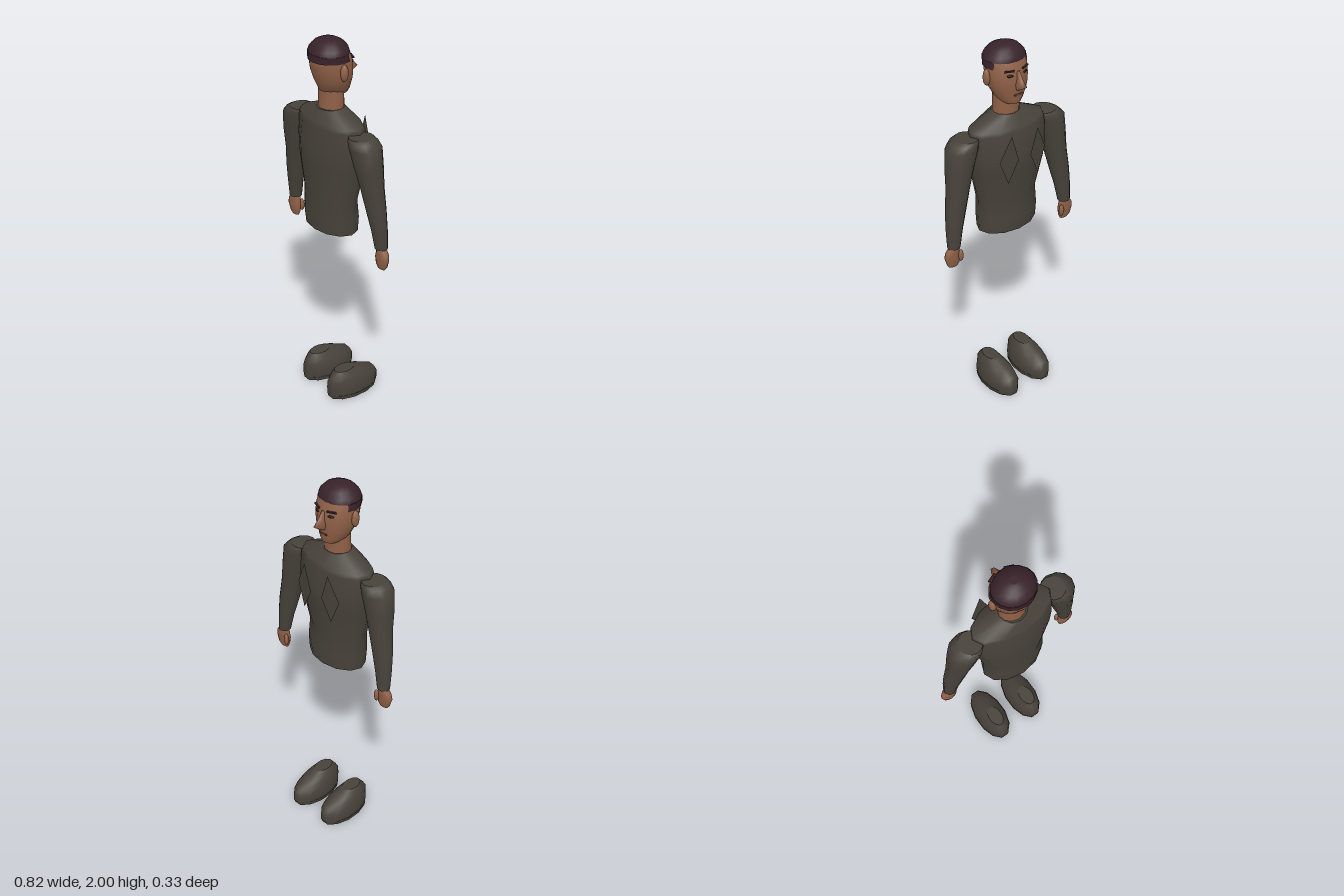
import * as THREE from 'three';

const material = (name, color) => {
  const m = new THREE.MeshStandardMaterial({ color, side: THREE.DoubleSide });
  m.name = name;
  return m;
};

// Smooth oval loft through rings [y, xMin, xMax, zMin, zMax], lowest first, closed with flat caps.
function loft(rings, n = 12, phase = 0) {
  const pos = [], index = [];
  const addRing = ([y, x0, x1, z0, z1]) => {
    for (let j = 0; j < n; j++) {
      const a = ((j + phase) / n) * Math.PI * 2;
      pos.push((x0 + x1) / 2 + Math.cos(a) * (x1 - x0) / 2, y, (z0 + z1) / 2 + Math.sin(a) * (z1 - z0) / 2);
    }
  };
  rings.forEach(addRing);
  for (let i = 0; i < rings.length - 1; i++) {
    for (let j = 0; j < n; j++) {
      const a = i * n + j, b = i * n + (j + 1) % n;
      index.push(a, a + n, b, b, a + n, b + n);
    }
  }
  [rings[0], rings[rings.length - 1]].forEach((ring, k) => {
    const s = pos.length / 3;
    addRing(ring);
    for (let j = 1; j < n - 1; j++) index.push(s, s + j + (k ? 1 : 0), s + j + (k ? 0 : 1));
  });
  const g = new THREE.BufferGeometry();
  g.setAttribute('position', new THREE.Float32BufferAttribute(pos, 3));
  g.setIndex(index);
  g.computeVertexNormals();
  return g;
}

const mirrorRings = (rings, s) => rings.map(([y, a, b, z0, z1]) => (s > 0 ? [y, a, b, z0, z1] : [y, -b, -a, z0, z1]));

export function createModel() {
  const root = new THREE.Group();
  root.name = 'figure';
  const suit = material('darkSuit', 0x47423a);
  const skin = material('skin', 0x8f6047);
  const hair = material('hair', 0x38222a);
  const dark = material('eyeDark', 0x1c1412);
  const lip = material('lips', 0x6e4334);

  const add = (name, geometry, mat, x = 0, y = 0, z = 0, parent = root) => {
    const mesh = new THREE.Mesh(geometry, mat);
    mesh.name = name;
    mesh.position.set(x, y, z);
    parent.add(mesh);
    return mesh;
  };

  // Torso and neck
  add('torso', loft([
    [1.0, -0.17, 0.17, -0.063, 0.155],
    [1.08, -0.173, 0.173, -0.072, 0.165],
    [1.18, -0.172, 0.172, -0.055, 0.155],
    [1.36, -0.212, 0.212, -0.086, 0.169],
    [1.46, -0.222, 0.222, -0.09, 0.168],
    [1.57, -0.222, 0.222, -0.07, 0.152],
    [1.59, -0.215, 0.215, -0.062, 0.147],
    [1.65, -0.075, 0.075, -0.02, 0.118],
  ]), suit);
  add('neck', loft([[1.63, -0.07, 0.07, -0.018, 0.108], [1.75, -0.068, 0.068, -0.015, 0.105]]), skin);

  // Head
  add('head', loft([
    [1.715, -0.045, 0.045, -0.045, 0.05],
    [1.74, -0.07, 0.07, -0.053, 0.105],
    [1.8, -0.1, 0.1, -0.058, 0.13],
    [1.85, -0.107, 0.107, -0.06, 0.147],
    [1.9, -0.108, 0.108, -0.053, 0.152],
    [1.94, -0.1, 0.1, -0.034, 0.145],
  ], 16), skin);

  // Hair: a cap above the forehead and a band around the back
  add('hairCap', loft([
    [1.932, -0.11, 0.11, -0.04, 0.156],
    [1.955, -0.101, 0.101, -0.033, 0.15],
    [1.98, -0.077, 0.077, -0.012, 0.128],
    [1.994, -0.048, 0.048, 0.014, 0.1],
    [2.0, -0.022, 0.022, 0.036, 0.078],
  ], 16), hair);
  const band = loft([[1.898, -0.112, 0.112, -0.055, 0.158], [1.934, -0.111, 0.111, -0.04, 0.157]], 16);
  const bp = band.attributes.position;
  for (let i = 0; i < bp.count; i++) bp.setZ(i, Math.max(bp.getZ(i), 0.01));
  band.computeVertexNormals();
  add('hairBand', band, hair);

  // Face
  add('nose', loft([
    [1.793, -0.014, 0.014, -0.066, -0.035],
    [1.822, -0.021, 0.021, -0.112, -0.03],
    [1.85, -0.013, 0.013, -0.088, -0.03],
    [1.892, -0.008, 0.008, -0.06, -0.03],
  ], 8, 0.5), skin);
  add('mouth', new THREE.BoxGeometry(0.046, 0.009, 0.008), lip, 0, 1.767, -0.053);

  for (const s of [1, -1]) {
    const side = s > 0 ? 'left' : 'right';

    const brow = add(side + 'Brow', new THREE.BoxGeometry(0.048, 0.007, 0.009), hair, s * 0.047, 1.897, -0.045);
    brow.rotation.y = -s * 0.4;
    const eye = add(side + 'Eye', new THREE.SphereGeometry(1, 12, 8), dark, s * 0.045, 1.873, -0.047);
    eye.scale.set(0.016, 0.007, 0.006);
    eye.rotation.y = -s * 0.4;
    const ear = add(side + 'Ear', new THREE.SphereGeometry(1, 12, 8), skin, s * 0.11, 1.85, 0.05);
    ear.scale.set(0.018, 0.043, 0.021);

    // Arm with sleeve, hand and thumb
    const arm = new THREE.Group();
    arm.name = side + 'Arm';
    root.add(arm);
    add('sleeve', loft(mirrorRings([
      [1.0, 0.322, 0.39, -0.022, 0.042],
      [1.1, 0.302, 0.39, -0.024, 0.056],
      [1.2, 0.275, 0.384, -0.025, 0.072],
      [1.32, 0.245, 0.367, -0.027, 0.09],
      [1.43, 0.213, 0.361, -0.032, 0.112],
      [1.525, 0.182, 0.352, -0.035, 0.125],
      [1.555, 0.178, 0.322, -0.027, 0.122],
      [1.568, 0.178, 0.298, -0.015, 0.11],
    ], s)), suit, 0, 0, 0, arm);
    add('hand', loft(mirrorRings([
      [0.886, 0.335, 0.386, 0.0, 0.022],
      [0.905, 0.325, 0.4, -0.008, 0.03],
      [0.945, 0.32, 0.412, -0.012, 0.036],
      [0.975, 0.325, 0.406, -0.014, 0.034],
      [1.005, 0.33, 0.38, -0.012, 0.032],
    ], s)), skin, 0, 0, 0, arm);
    const thumb = add('thumb', new THREE.SphereGeometry(1, 10, 8), skin, s * 0.327, 0.947, -0.008, arm);
    thumb.scale.set(0.014, 0.034, 0.013);

    // Lapel: flat diamond in front of the chest
    const lapel = new THREE.BufferGeometry();
    lapel.setAttribute('position', new THREE.Float32BufferAttribute([
      s * 0.078, 1.585, -0.104, s * 0.14, 1.45, -0.087,
      s * 0.092, 1.32, -0.094, s * 0.036, 1.44, -0.104,
    ], 3));
    lapel.setIndex(s > 0 ? [0, 1, 2, 0, 2, 3] : [0, 2, 1, 0, 3, 2]);
    lapel.computeVertexNormals();
    add(side + 'Lapel', lapel, suit);

    // Shoe and sole
    add(side + 'Sole', loft(mirrorRings([
      [0, 0.028, 0.187, -0.162, 0.142], [0.022, 0.025, 0.19, -0.168, 0.147],
    ], s), 12, 0.5), suit);
    add(side + 'Shoe', loft(mirrorRings([
      [0.02, 0.027, 0.188, -0.17, 0.147],
      [0.06, 0.025, 0.19, -0.17, 0.149],
      [0.1, 0.036, 0.18, -0.148, 0.147],
      [0.13, 0.052, 0.165, -0.085, 0.13],
      [0.157, 0.071, 0.146, -0.016, 0.108],
    ], s), 12, 0.5), suit);
  }
  return root;
}
